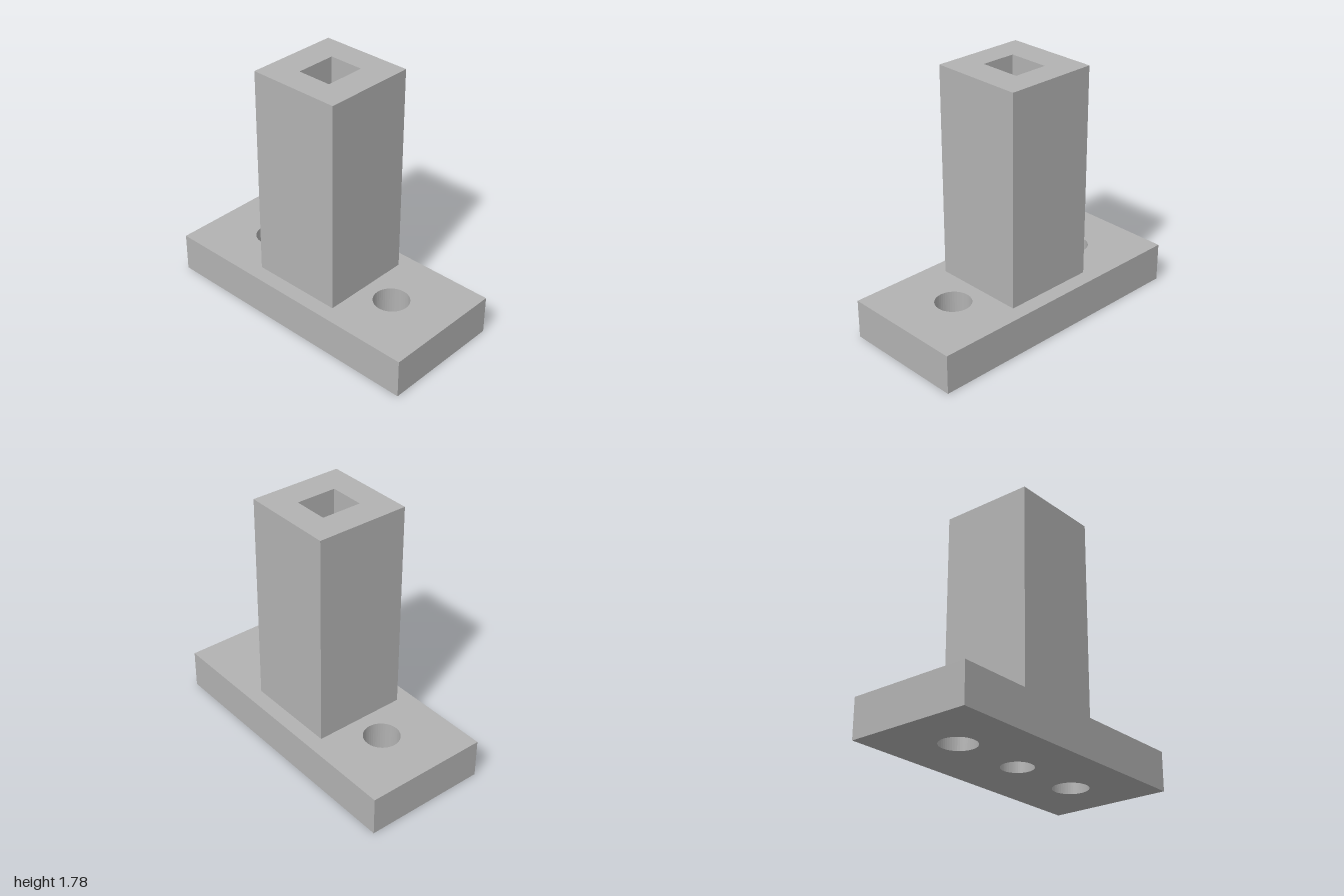
import * as THREE from 'three';

const BASE_H = 0.278, TOP = 1.778, HOLE_Z = 0.556;

// Outline helpers (shape y becomes -z once laid flat)
const outline = (type, w, d) => new type([
  new THREE.Vector2(-w, -d), new THREE.Vector2(w, -d),
  new THREE.Vector2(w, d), new THREE.Vector2(-w, d),
]);
const circle = (z, r) => new THREE.Path().absarc(0, -z, r, 0, Math.PI * 2, true);

function withHoles(w, d, ...holes) {
  const shape = outline(THREE.Shape, w, d);
  shape.holes.push(...holes);
  return shape;
}

// Horizontal face at height y
function cap(shape, y, down = false) {
  const g = new THREE.ShapeGeometry(shape, 24);
  if (down) {
    const index = g.index.array;
    for (let i = 0; i < index.length; i += 3) [index[i], index[i + 1]] = [index[i + 1], index[i]];
    g.computeVertexNormals();
  }
  return g.rotateX(-Math.PI / 2).translate(0, y, 0);
}

// Vertical walls of a shape and its holes, without end faces
function walls(shape, y0, y1) {
  const full = new THREE.ExtrudeGeometry(shape, { depth: y1 - y0, bevelEnabled: false, curveSegments: 24 });
  const { start, count } = full.groups[1];
  const g = new THREE.BufferGeometry();
  for (const name of ['position', 'normal']) {
    const data = full.attributes[name].array.slice(start * 3, (start + count) * 3);
    g.setAttribute(name, new THREE.BufferAttribute(data, 3));
  }
  return g.rotateX(-Math.PI / 2).translate(0, y0, 0);
}

export function createModel() {
  const group = new THREE.Group();
  const grey = new THREE.MeshStandardMaterial({ color: 0xb2b2b2 });
  grey.name = 'grey';
  const add = (name, geometry) => {
    const mesh = new THREE.Mesh(geometry, grey);
    mesh.name = name;
    group.add(mesh);
  };

  const boltHoles = () => [circle(-HOLE_Z, 0.125), circle(HOLE_Z, 0.125)];
  const pocket = () => outline(THREE.Path, 0.145, 0.125);

  // Base plate with two bolt holes and a smaller centre hole
  const base = withHoles(0.444, 1, ...boltHoles(), circle(0, 0.111));
  add('baseWalls', walls(base, 0, BASE_H));
  add('baseUnderside', cap(base, 0, true));
  add('baseTop', cap(withHoles(0.444, 1, ...boltHoles(), outline(THREE.Path, 0.333, 0.333)), BASE_H));

  // Square post with a rectangular pocket that opens into the centre hole
  const post = withHoles(0.333, 0.333, pocket());
  add('postWalls', walls(post, BASE_H, TOP));
  add('postTop', cap(post, TOP));
  add('pocketFloor', cap(withHoles(0.145, 0.125, circle(0, 0.111)), BASE_H));

  return group;
}
